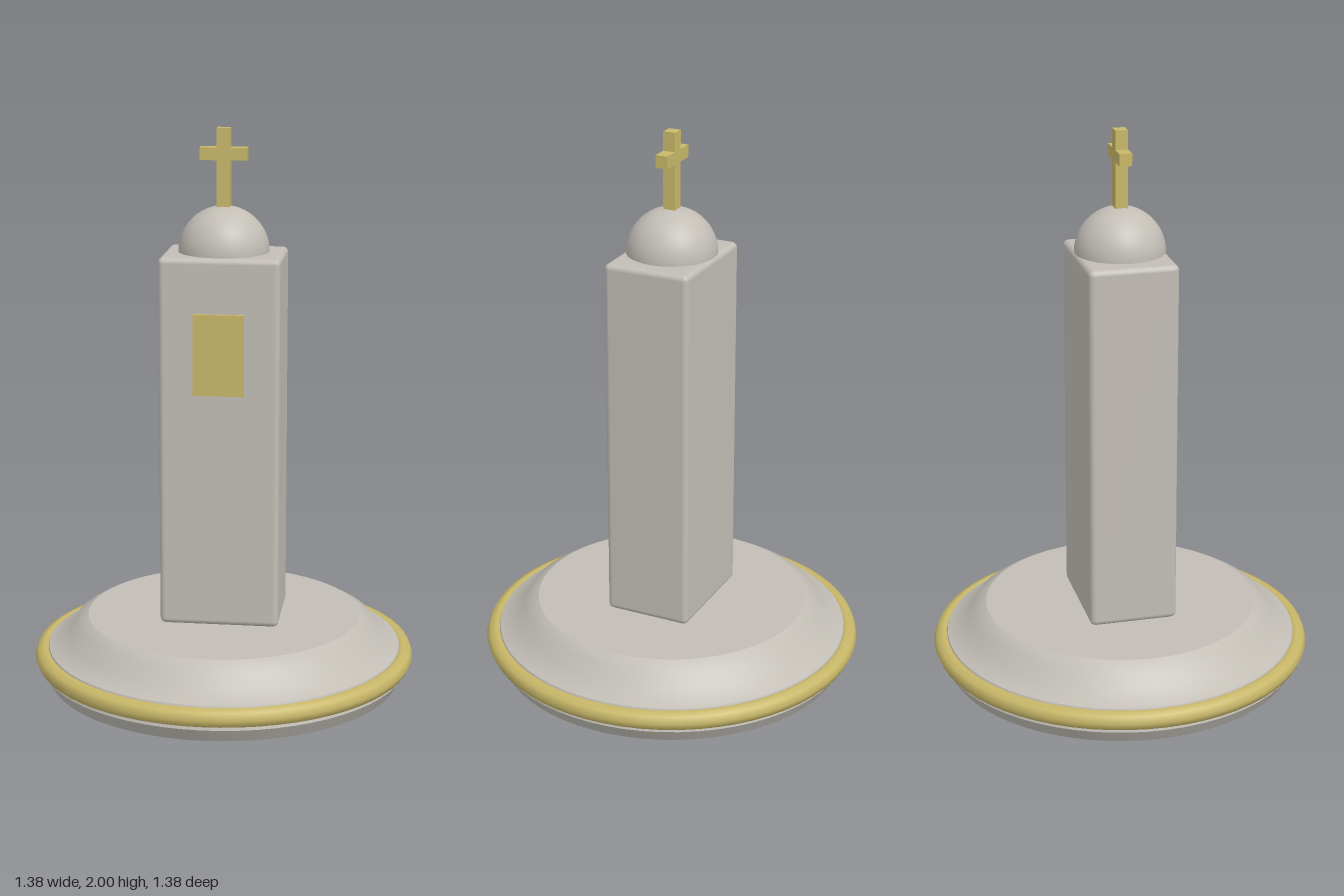
import * as THREE from 'three';
import { toCreasedNormals } from 'three/addons/utils/BufferGeometryUtils.js';
import { RoundedBoxGeometry } from 'three/addons/geometries/RoundedBoxGeometry.js';

export function createModel() {
  const group = new THREE.Group();
  const stone = new THREE.MeshStandardMaterial({ color: 0xc2beb6 });
  stone.name = 'stone';
  const gold = new THREE.MeshStandardMaterial({ color: 0xc9b869 });
  gold.name = 'gold';

  const add = (name, geometry, material, x = 0, y = 0, z = 0) => {
    const mesh = new THREE.Mesh(geometry, material);
    mesh.name = name;
    mesh.position.set(x, y, z);
    group.add(mesh);
    return mesh;
  };
  const lathe = (points) => toCreasedNormals(
    new THREE.LatheGeometry(points.map(([r, y]) => new THREE.Vector2(r, y)), 64), 0.72);

  // Round stepped base, with a separate flat top
  add('base', lathe([
    [0, 0], [0.637, 0], [0.667, 0.05], [0.655, 0.09], [0.64, 0.128],
    [0.567, 0.16], [0.543, 0.21], [0.495, 0.238],
  ]), stone);
  const top = add('baseTop', new THREE.CircleGeometry(0.495, 64), stone, 0, 0.238, 0);
  top.rotation.x = -Math.PI / 2;

  // Gold ring around the base
  const ring = add('baseRing', new THREE.TorusGeometry(0.655, 0.035, 8, 64), gold, 0, 0.092, 0);
  ring.rotation.x = Math.PI / 2;

  // Tower with softened edges
  add('tower', new RoundedBoxGeometry(0.426, 1.33, 0.318, 2, 0.02), stone, 0, 0.902, 0);

  // Plaque on the front
  add('plaque', new THREE.BoxGeometry(0.178, 0.288, 0.03), gold, 0, 1.23, 0.157);

  // Dome, closed underneath
  add('dome', new THREE.SphereGeometry(0.16, 48, 16, 0, Math.PI * 2, 0, Math.PI / 2), stone, 0, 1.57, 0);
  const underside = add('domeUnderside', new THREE.CircleGeometry(0.16, 48), stone, 0, 1.57, 0);
  underside.rotation.x = Math.PI / 2;

  // Cross: upright and two arms
  add('crossUpright', new THREE.BoxGeometry(0.046, 0.29, 0.044), gold, 0, 1.855, 0);
  for (const side of [-1, 1]) {
    add('crossArm', new THREE.BoxGeometry(0.06, 0.044, 0.044), gold, side * 0.053, 1.911, 0);
  }
  return group;
}
